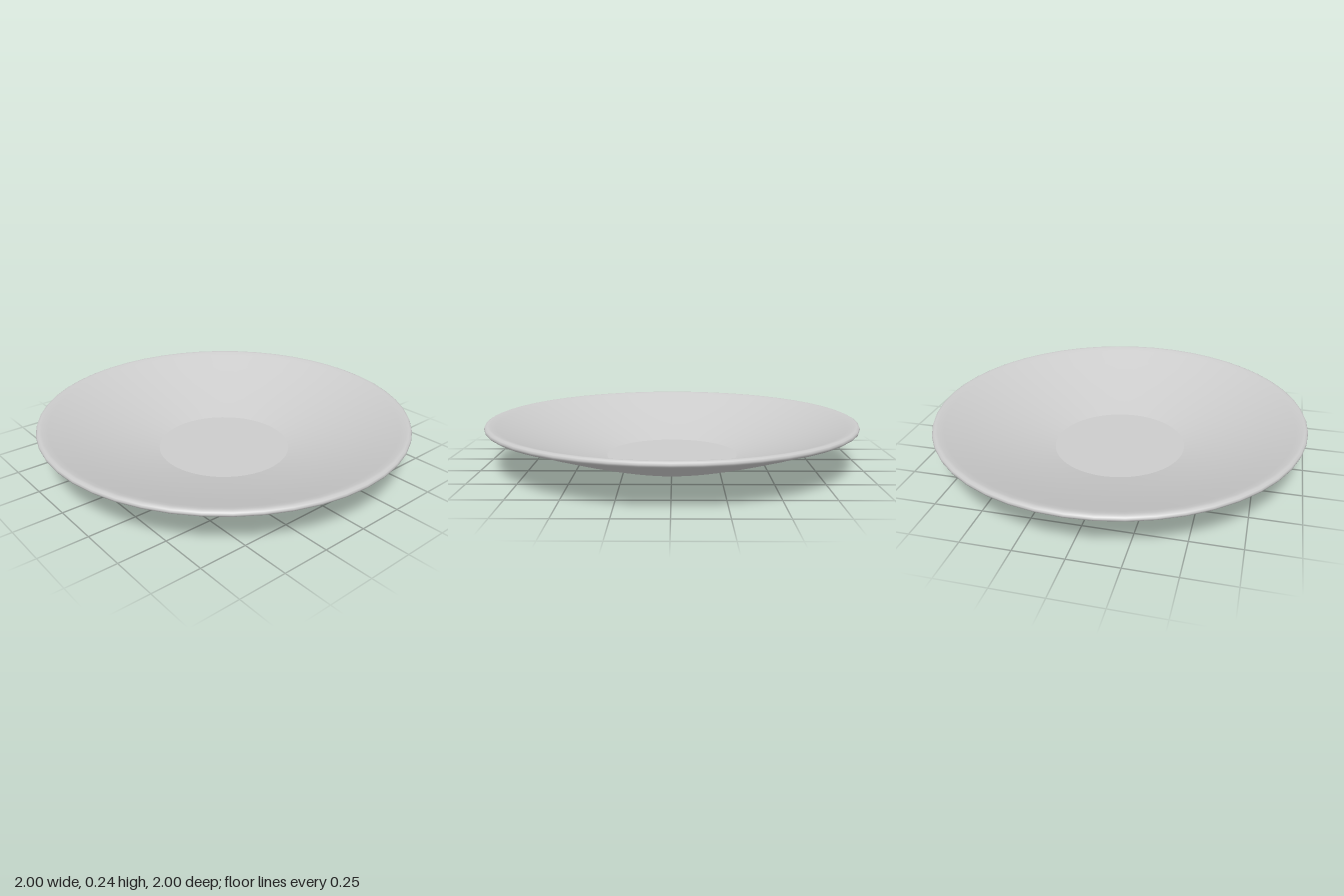
import * as THREE from 'three';

const SIDES = 48;

export function createModel() {
  const group = new THREE.Group();
  group.name = 'shallowBowl';
  const material = new THREE.MeshStandardMaterial({ color: 0xcccccc });

  // Turns a profile of [radius, height] pairs around the y axis
  function addTurned(name, profile) {
    const points = profile.map(([r, y]) => new THREE.Vector2(r, y));
    const mesh = new THREE.Mesh(new THREE.LatheGeometry(points, SIDES), material);
    mesh.name = name;
    group.add(mesh);
  }

  // Flat underside the bowl stands on
  addTurned('base', [[0, 0], [0.355, 0]]);

  // Flaring wall: up the outside, over the rounded rim and down the inside
  addTurned('wallAndRim', [
    [0.355, 0], [0.45, 0.027], [0.57, 0.064], [0.7, 0.107], [0.83, 0.153], [0.96, 0.203],
    [0.985, 0.209], [0.997, 0.217], [1, 0.226], [0.996, 0.235], [0.985, 0.24], [0.97, 0.239],
    [0.94, 0.229], [0.83, 0.186], [0.7, 0.139], [0.57, 0.096], [0.45, 0.06], [0.36, 0.034],
  ]);

  // Flat inner floor
  addTurned('floor', [[0.36, 0.034], [0, 0.034]]);

  return group;
}
